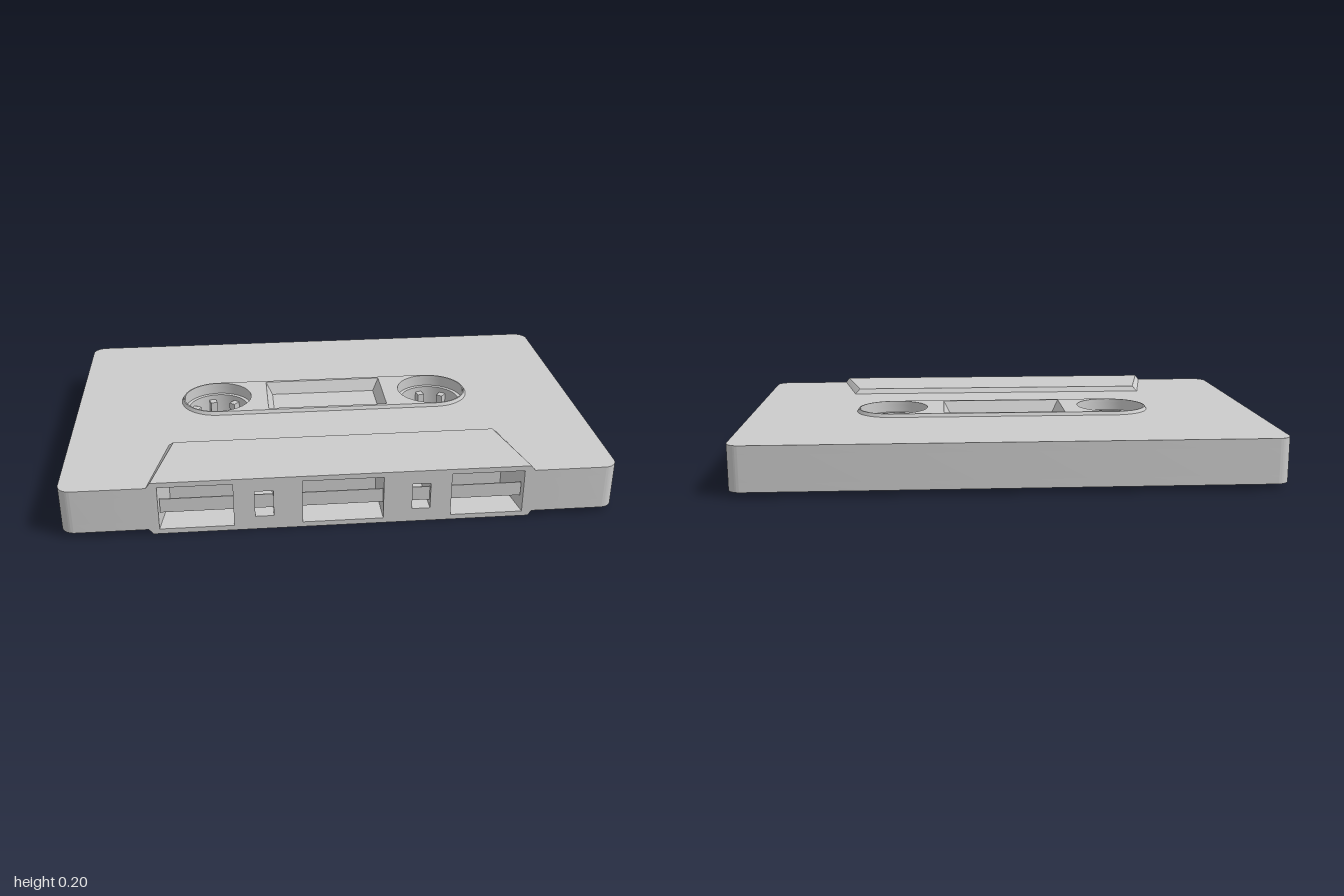
import * as THREE from 'three';
import { toCreasedNormals } from 'three/addons/utils/BufferGeometryUtils.js';

const MID = 0.1015;    // height of the middle plane
const BODY = 0.0825;   // half thickness of the shell
const W = 0.985, D = 0.645, CORNER = 0.05;
const HUB_X = 0.433, HUB_Z = -0.05, HUB_R = 0.133;
const WINDOW = { x: 0.235, z: 0.125 };
const POCKET_BACK = 0.44;

const grey = new THREE.MeshStandardMaterial({ color: 0xcccccc });
const greyOpen = new THREE.MeshStandardMaterial({ color: 0xcccccc, side: THREE.DoubleSide, flatShading: true });

function add(parent, name, geometry, material = grey) {
  const mesh = new THREE.Mesh(geometry, material);
  mesh.name = name;
  parent.add(mesh);
  return mesh;
}

// Outlines are drawn as (x, z)
function circle(x, z, r) {
  return new THREE.Path().absarc(x, z, r, 0, Math.PI * 2, false);
}

function roundedRect(x, z, hx, hz, r) {
  const p = new THREE.Path();
  p.absarc(x + hx - r, z + hz - r, r, 0, Math.PI / 2, false);
  p.absarc(x - hx + r, z + hz - r, r, Math.PI / 2, Math.PI, false);
  p.absarc(x - hx + r, z - hz + r, r, Math.PI, Math.PI * 1.5, false);
  p.absarc(x + hx - r, z - hz + r, r, Math.PI * 1.5, Math.PI * 2, false);
  p.closePath();
  return p;
}

function rect(x, z, hx, hz) {
  return new THREE.Path([[1, 1], [-1, 1], [-1, -1], [1, -1], [1, 1]]
    .map(([a, b]) => new THREE.Vector2(x + a * hx, z + b * hz)));
}

const centreHoles = () => [
  circle(HUB_X, HUB_Z, HUB_R), circle(-HUB_X, HUB_Z, HUB_R),
  rect(0, HUB_Z, WINDOW.x, WINDOW.z),
];
const squareHoles = () => [-1, 1].map(s => roundedRect(s * 0.277, 0.54, 0.028, 0.03, 0.012));
const roundHoles = () => [-1, 1].map(s => circle(s * 0.473, 0.573, 0.037));

// Upright slab from an (x, z) outline; its foot can be widened to a second outline
function slab(shape, y0, y1, topLoop, footLoop) {
  const geo = new THREE.ExtrudeGeometry(shape, { depth: y1 - y0, bevelEnabled: false, curveSegments: 24 });
  if (footLoop) {
    const p = geo.attributes.position;
    for (let i = 0; i < p.count; i++) {
      if (p.getZ(i) < 1e-6) continue;
      const k = topLoop.findIndex(v => Math.hypot(v.x - p.getX(i), v.y - p.getY(i)) < 1e-5);
      if (k >= 0) p.setXY(i, footLoop[k].x, footLoop[k].y);
    }
  }
  geo.rotateX(Math.PI / 2).translate(0, y1, 0);
  return toCreasedNormals(geo, 0.5);
}

// Shell outline with pockets cut into the front edge: [front x1, back x1, back x0, front x0]
function shellShape(pockets) {
  const s = new THREE.Shape();
  s.moveTo(-W + CORNER, -D);
  s.absarc(W - CORNER, -D + CORNER, CORNER, -Math.PI / 2, 0, false);
  s.absarc(W - CORNER, D - CORNER, CORNER, 0, Math.PI / 2, false);
  for (const [f1, b1, b0, f0] of pockets) {
    s.lineTo(f1, D);
    s.lineTo(b1, POCKET_BACK);
    s.lineTo(b0, POCKET_BACK);
    s.lineTo(f0, D);
  }
  s.absarc(-W + CORNER, D - CORNER, CORNER, Math.PI / 2, Math.PI, false);
  s.absarc(-W + CORNER, -D + CORNER, CORNER, Math.PI, Math.PI * 1.5, false);
  return s;
}

function stadium(r) {
  const pts = [];
  for (const side of [1, -1]) {
    for (let i = 0; i <= 24; i++) {
      const a = side * Math.PI / 2 * (i / 12 - 1) + (side < 0 ? Math.PI : 0);
      const t = side > 0 ? a : Math.PI / 2 + Math.PI * i / 24;
      pts.push(new THREE.Vector2(side * HUB_X + r * Math.cos(t), HUB_Z + r * Math.sin(t)));
    }
  }
  return pts;
}

function trapezoid(xBack, zBack, xFront) {
  return [[-xBack, zBack], [xBack, zBack], [xFront, D], [-xFront, D]]
    .map(([x, z]) => new THREE.Vector2(x, z));
}

// Raised parts of one broad face, measured from the middle plane
function facePlates() {
  const face = new THREE.Group();

  const headTop = trapezoid(0.597, 0.346, 0.667);
  const head = new THREE.Shape(headTop);
  head.holes = [...squareHoles(), ...roundHoles()];
  add(face, 'headPlate', slab(head, BODY, MID, headTop, trapezoid(0.615, 0.33, 0.682)));

  const ridgeTop = stadium(0.138);
  const ridge = new THREE.Shape(ridgeTop);
  ridge.holes = centreHoles();
  add(face, 'hubPlate', slab(ridge, BODY, 0.095, ridgeTop, stadium(0.145)));

  // Sloped window frame: a four-sided tube squared up to the window
  const frame = new THREE.CylinderGeometry(1, 1, 1, 4, 1, true, Math.PI / 4);
  const p = frame.attributes.position;
  for (let i = 0; i < p.count; i++) {
    const top = p.getY(i) > 0, inset = top ? 0 : 0.025;
    p.setXYZ(i, Math.sign(p.getX(i)) * (WINDOW.x - inset), top ? 0.095 : 0.05,
      HUB_Z + Math.sign(p.getZ(i)) * (WINDOW.z - inset));
  }
  add(face, 'windowFrame', frame, greyOpen);
  add(face, 'windowPane', new THREE.BoxGeometry(0.44, 0.02, 0.22)).position.set(0, 0.04, HUB_Z);
  return face;
}

function hub() {
  const g = new THREE.Group();
  const ring = [[0.118, -0.05], [0.134, -0.05], [0.134, 0.05], [0.118, 0.05], [0.118, -0.05]]
    .map(([r, y]) => new THREE.Vector2(r, y));
  add(g, 'hubRing', toCreasedNormals(new THREE.LatheGeometry(ring, 48), 0.5));
  for (let i = 0; i < 7; i++) {
    const tooth = new THREE.BoxGeometry(0.036, 0.06, 0.026);
    tooth.translate(0.104, 0, 0).rotateY(i / 7 * Math.PI * 2);
    add(g, 'hubTooth', tooth);
  }
  return g;
}

export function createModel() {
  const model = new THREE.Group();
  model.name = 'cassette';
  const core = new THREE.Group();
  core.position.y = MID;
  model.add(core);

  // Shell in three layers; the small pockets exist only in the middle one
  const large = [[0.645, 0.617, 0.385, 0.385], [0.143, 0.143, -0.143, -0.143], [-0.385, -0.385, -0.617, -0.645]];
  const small = [[0.31, 0.31, 0.245, 0.245], [-0.245, -0.245, -0.31, -0.31]];
  const layers = [['shellBottom', -BODY, -0.05], ['shellMiddle', -0.05, 0.05], ['shellTop', 0.05, BODY]];
  for (const [name, y0, y1] of layers) {
    const middle = name === 'shellMiddle';
    const shape = shellShape(middle ? [large[0], small[0], large[1], small[1], large[2]] : large);
    shape.holes = middle ? centreHoles() : [...centreHoles(), ...squareHoles()];
    add(core, name, slab(shape, y0, y1));
  }

  // Matching top and bottom faces
  for (const [name, turn] of [['topFace', 0], ['bottomFace', Math.PI]]) {
    const face = facePlates();
    face.name = name;
    face.rotation.z = turn;
    core.add(face);
  }

  // Toothed hubs and tapered side tabs
  for (const s of [-1, 1]) {
    const h = hub();
    h.name = s > 0 ? 'leftHub' : 'rightHub';
    h.position.set(s * HUB_X, 0, HUB_Z);
    core.add(h);

    const tab = new THREE.Shape([[0.97, 0.2], [0.985, 0.2], [1, 0.22], [1, 0.505], [0.985, 0.525], [0.97, 0.525]]
      .map(([x, z]) => new THREE.Vector2(s * x, z)));
    add(core, s > 0 ? 'leftTab' : 'rightTab', slab(tab, -0.023, 0.023));
  }

  // Tape running behind the front openings
  add(core, 'tape', new THREE.BoxGeometry(1.28, 0.053, 0.004)).position.z = 0.624;
  return model;
}
